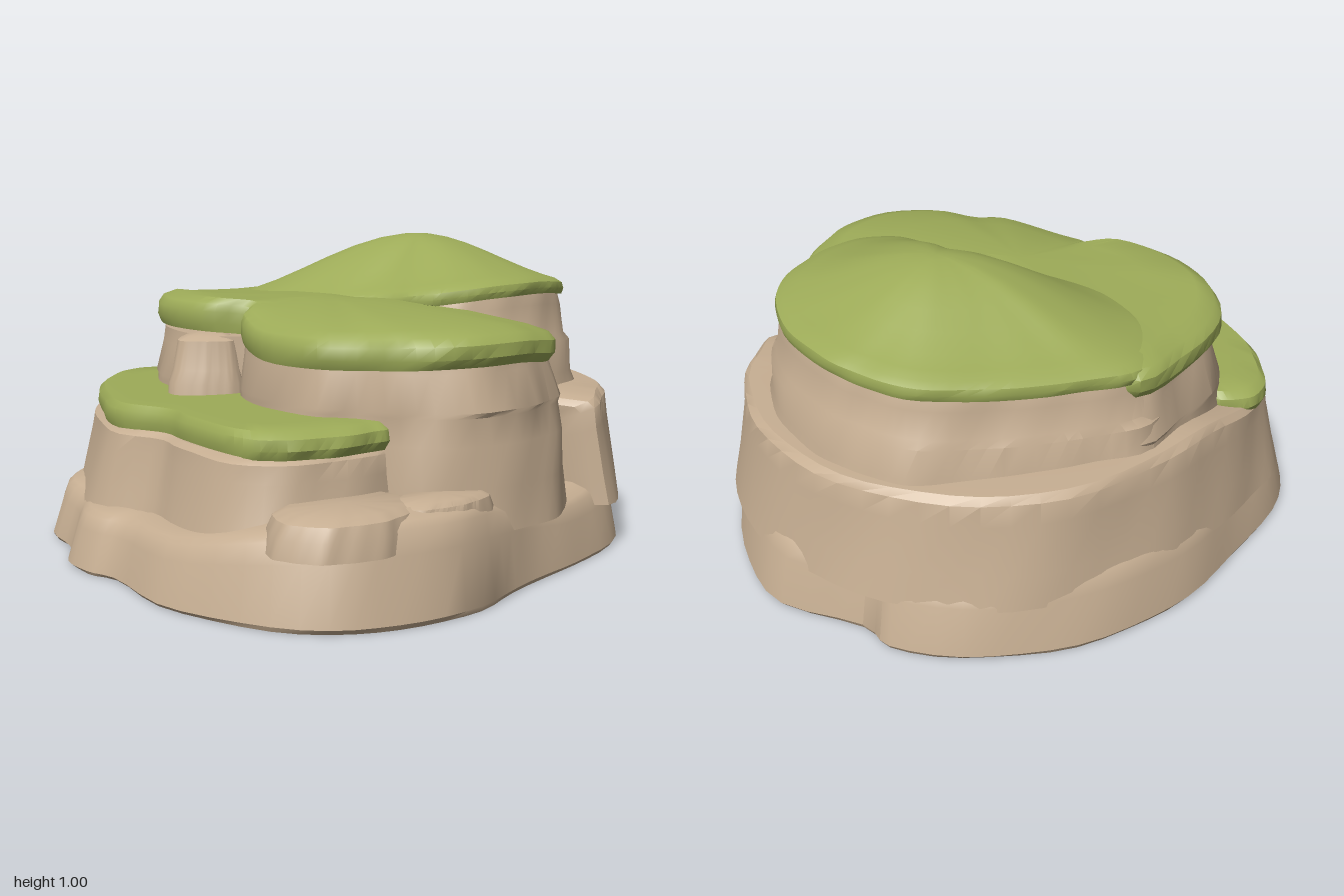
import * as THREE from 'three';
import { toCreasedNormals } from 'three/addons/utils/BufferGeometryUtils.js';

const N = 80;

// Closed loft. rows: [x, z, topY, bottomY] around the rim (back > right > front > left).
// layers: [scale about centre, height 0..1 between bottom and top, lift towards peak].
function loft(name, mat, [cx, cz], peak, rows, layers, rough = 0.006) {
  const curve = (k) => new THREE.CatmullRomCurve3(
    rows.map((r) => new THREE.Vector3(r[0], r[k], r[1])), true, 'catmullrom', 0.5);
  const tops = curve(2), bottoms = curve(3);
  const pos = [], idx = [];
  let low = 0;
  layers.forEach(([s, k, lift = 0], l) => {
    for (let i = 0; i < N; i++) {
      const p = tops.getPoint(i / N), q = bottoms.getPoint(i / N);
      const a = (i / N) * Math.PI * 2;
      const w = s * (1 + rough * (Math.sin(9 * a + l * 0.6) + 0.8 * Math.sin(17 * a + l * 1.1)));
      const y = THREE.MathUtils.lerp(q.y + (p.y - q.y) * k, peak, lift);
      pos.push(cx + (p.x - cx) * w, y, cz + (p.z - cz) * w);
      if (l === 0) low += y / N;
    }
  });
  const topC = pos.length / 3, botC = topC + 1, last = (layers.length - 1) * N;
  pos.push(cx, peak, cz, cx, low, cz);
  for (let i = 0; i < N; i++) {
    const j = (i + 1) % N;
    for (let l = 0; l < layers.length - 1; l++) {
      const a = l * N + i, b = l * N + j, c = a + N, d = b + N;
      idx.push(a, c, b, b, c, d);
    }
    idx.push(last + i, topC, last + j, botC, i, j);
  }
  const geo = new THREE.BufferGeometry();
  geo.setAttribute('position', new THREE.Float32BufferAttribute(pos, 3));
  geo.setIndex(idx);
  const mesh = new THREE.Mesh(toCreasedNormals(geo, 0.65), mat);
  mesh.name = name;
  return mesh;
}

// Give every rim point the same top or bottom where only x and z matter
const level = (rows, top, bottom) => rows.map(([x, z, t]) => [x, z, top ?? t, bottom]);

export function createModel() {
  const rock = new THREE.MeshStandardMaterial({ color: 0xc6ae92 });
  rock.name = 'sandstone';
  const grass = new THREE.MeshStandardMaterial({ color: 0x9dab58 });
  grass.name = 'grass';
  const group = new THREE.Group();
  group.name = 'terracedRock';

  // Wide foot of the rock, raised at the front left shoulder
  const baseRim = [
    [0, -1, 0.24], [0.25, -0.93, 0.24], [0.5, -0.76, 0.23], [0.7, -0.54, 0.21], [0.79, -0.28, 0.19],
    [0.83, -0.05, 0.22], [0.87, 0.15, 0.26], [0.92, 0.35, 0.28], [0.89, 0.57, 0.28], [0.8, 0.75, 0.27],
    [0.6, 0.9, 0.24], [0.3, 0.985, 0.19], [0, 0.95, 0.18], [-0.12, 0.985, 0.18], [-0.25, 0.97, 0.18],
    [-0.4, 0.88, 0.18], [-0.6, 0.84, 0.19], [-0.75, 0.68, 0.2], [-0.85, 0.5, 0.2], [-0.9, 0.2, 0.21],
    [-0.92, -0.1, 0.22], [-0.88, -0.35, 0.23], [-0.78, -0.6, 0.23], [-0.6, -0.8, 0.23],
    [-0.4, -0.92, 0.23], [-0.27, -0.91, 0.24]];
  group.add(loft('base', rock, [0, 0], 0.25, level(baseRim, null, 0),
    [[0.99, 0], [1, 0.06], [0.965, 0.7], [0.945, 0.93], [0.925, 1], [0.87, 1.08], [0.5, 1, 0.5]], 0.003));

  // Middle terrace, notched on the side behind the lower lobe
  const terraceRim = [
    [0, -0.89, 0.5], [0.27, -0.83, 0.5], [0.48, -0.7, 0.5], [0.62, -0.54, 0.5], [0.69, -0.4, 0.48],
    [0.5, -0.31, 0.4], [0.52, -0.1, 0.4], [0.56, 0.15, 0.42], [0.59, 0.4, 0.43], [0.58, 0.58, 0.43],
    [0.52, 0.73, 0.43], [0.38, 0.81, 0.43], [0.15, 0.8, 0.43], [0, 0.77, 0.43], [-0.2, 0.82, 0.43],
    [-0.45, 0.73, 0.43], [-0.65, 0.61, 0.43], [-0.77, 0.46, 0.43], [-0.81, 0.28, 0.46], [-0.82, 0.05, 0.5],
    [-0.81, -0.2, 0.5], [-0.72, -0.5, 0.5], [-0.54, -0.72, 0.5], [-0.28, -0.86, 0.5]];
  group.add(loft('middleTerrace', rock, [-0.05, -0.05], 0.45, level(terraceRim, null, 0.15),
    [[1.08, 0], [1.055, 0.3], [1.02, 0.75], [1.01, 0.94], [0.985, 1], [0.85, 1.02], [0.4, 1]], 0.004));

  // Grass on the front ledge
  const ledgeRim = [
    [-0.1, 0.25], [0.3, 0.28], [0.57, 0.36], [0.6, 0.45], [0.58, 0.6], [0.52, 0.73], [0.4, 0.79],
    [0.15, 0.78], [0, 0.76], [-0.2, 0.81], [-0.45, 0.72], [-0.65, 0.6], [-0.78, 0.45], [-0.8, 0.32],
    [-0.7, 0.24], [-0.4, 0.25]];
  group.add(loft('ledgeGrass', grass, [-0.1, 0.45], 0.51, level(ledgeRim, 0.505, 0.425),
    [[0.96, 0.05], [0.995, 0], [1.015, 0.35], [1.005, 0.75], [0.96, 1], [0.8, 1.04], [0.4, 1]], 0.004));

  // Lower plateau with its side lobe: rock, then turf
  const lobeRim = [
    [0.2, -0.05, 0.78], [0.37, -0.05, 0.78], [0.4, -0.16, 0.76], [0.48, -0.26, 0.74], [0.63, -0.26, 0.73],
    [0.72, -0.15, 0.74], [0.765, 0, 0.755], [0.75, 0.18, 0.755], [0.65, 0.34, 0.75], [0.5, 0.41, 0.74],
    [0.38, 0.49, 0.74], [0.15, 0.5, 0.74], [-0.02, 0.45, 0.77], [-0.07, 0.4, 0.79], [-0.17, 0.49, 0.8],
    [-0.38, 0.49, 0.8], [-0.56, 0.41, 0.8], [-0.69, 0.26, 0.78], [-0.73, 0.03, 0.77],
    [-0.72, -0.2, 0.77], [-0.45, -0.2, 0.77], [-0.1, -0.1, 0.78]];
  group.add(loft('lowerPlateauRock', rock, [0, 0.12], 0.68, level(lobeRim, 0.69, 0.18),
    [[1.09, 0], [1.07, 0.25], [1.06, 0.5], [1.035, 0.66], [1.04, 0.69], [0.985, 0.9], [0.97, 1], [0.5, 1]], 0.005));
  group.add(loft('lowerPlateauGrass', grass, [0, 0.12], 0.81, lobeRim.map(([x, z, t]) => [x, z, t, t - 0.095]),
    [[0.94, 0.05], [1, 0], [1.025, 0.3], [1.02, 0.7], [0.985, 0.96], [0.9, 1.15], [0.65, 1, 0.6], [0.3, 1, 0.95]], 0.004));

  // Upper column: stepped rock and the domed turf that ramps down to the lower plateau
  const domeRim = [
    [-0.04, -0.81, 0.83], [0.2, -0.75, 0.83], [0.38, -0.61, 0.85], [0.44, -0.45, 0.865], [0.455, -0.25, 0.865],
    [0.39, -0.1, 0.85], [0.27, -0.03, 0.83], [0.1, 0, 0.81], [-0.1, 0.12, 0.785], [-0.4, 0.15, 0.78],
    [-0.63, 0.05, 0.77], [-0.72, -0.18, 0.775], [-0.63, -0.37, 0.78], [-0.51, -0.56, 0.79],
    [-0.36, -0.74, 0.81], [-0.2, -0.8, 0.82]];
  group.add(loft('upperColumn', rock, [-0.08, -0.35], 0.78, domeRim.map(([x, z, t]) => [x, z, t - 0.05, 0.2]),
    [[1.13, 0], [1.1, 0.5], [1.07, 0.56], [1.06, 0.74], [1.025, 0.78], [1, 0.94], [0.98, 1], [0.5, 1]], 0.004));
  const slope = (t) => 0.65 * (0.5 + 0.5 * Math.cos(Math.PI * t)) + 0.35 * (1 - t * t);
  group.add(loft('upperGrass', grass, [-0.07, -0.36], 1, domeRim.map(([x, z, t]) => [x, z, t, t - 0.05]),
    [[0.95, 0.05], [1, 0], [1.015, 0.4], [1.005, 0.8],
      ...[0.96, 0.88, 0.76, 0.62, 0.48, 0.34, 0.2, 0.08].map((t) => [t, 1, slope(t)])], 0.003));

  // Small spur of rock in the cleft above the front ledge
  const spurRim = [[-0.22, 0.36], [-0.1, 0.42], [-0.13, 0.51], [-0.21, 0.57], [-0.3, 0.51], [-0.36, 0.42]];
  group.add(loft('frontSpur', rock, [-0.21, 0.44], 0.71, level(spurRim, 0.69, 0.42),
    [[1.3, 0], [1.22, 0.45], [1.1, 0.6], [0.95, 0.95], [0.7, 1]]));

  // Thin worn slabs standing proud of the rock faces
  const slabs = [
    ['shoulderSlab', [0.66, 0.6], 0.31, 0.2, 0.18, 0.24],
    ['sideSlab', [0.75, 0.32], 0.31, 0.22, 0.1, 0.2]];
  for (const [name, [x, z], top, bottom, rx, rz] of slabs) {
    const rim = Array.from({ length: 8 }, (_, i) => {
      const a = (i / 8) * Math.PI * 2;
      return [x + rx * Math.cos(a), z + rz * Math.sin(a), top, bottom];
    });
    group.add(loft(name, rock, [x, z], top + 0.005, rim, [[1.05, 0], [1, 0.5], [0.92, 0.85], [0.75, 1]], 0.01));
  }
  return group;
}
